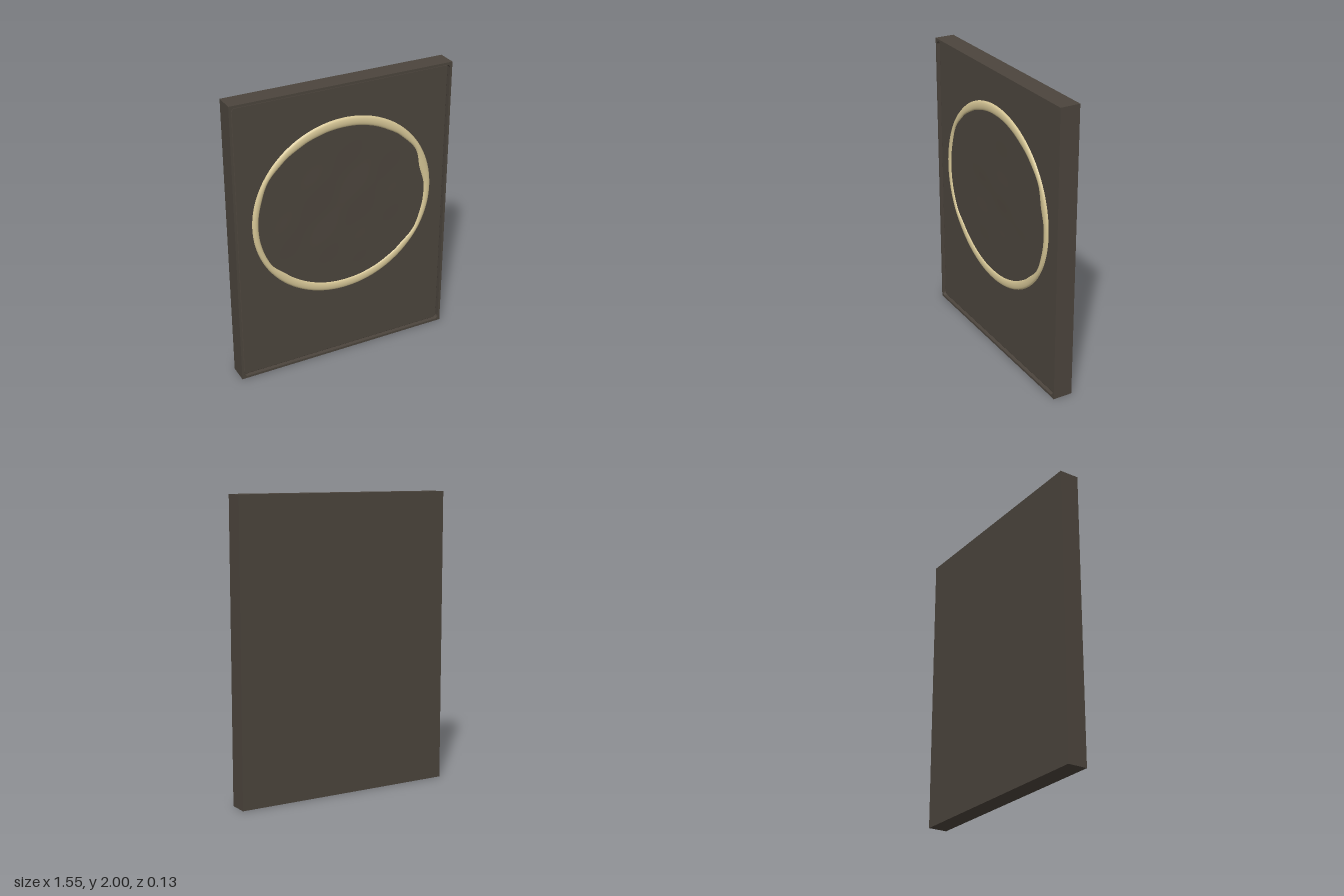
import * as THREE from 'three';

const W = 0.777, H = 2, BACK = -0.068, PANEL = 0.05, FRONT = 0.067;
const CY = 1.132, RX = 0.652, RY = 0.632, SEG = 144;

// Band width at every 15 degrees, counter-clockwise from the model's left
const widths = [0.05, 0.068, 0.042, 0.055, 0.066, 0.068, 0.07, 0.068, 0.062, 0.05, 0.036, 0.045,
  0.044, 0.042, 0.04, 0.062, 0.066, 0.068, 0.07, 0.068, 0.064, 0.056, 0.036, 0.045];
const bandWidth = (t) => {
  const f = ((t / (2 * Math.PI)) * widths.length) % widths.length, i = Math.floor(f);
  const u = f - i, s = u * u * (3 - 2 * u);
  return THREE.MathUtils.lerp(widths[i], widths[(i + 1) % widths.length], s);
};

// Surface swept around the medallion; point(t, v) with v from the inside out
function sweep(steps, point) {
  const pos = [], idx = [];
  for (let j = 0; j <= steps; j++)
    for (let i = 0; i < SEG; i++) pos.push(...point((i / SEG) * Math.PI * 2, j / steps));
  for (let j = 0; j < steps; j++)
    for (let i = 0; i < SEG; i++) {
      const k = (i + 1) % SEG, a = j * SEG + i, b = a + SEG, c = (j + 1) * SEG + k, d = j * SEG + k;
      if (j > 0) idx.push(a, c, d);
      idx.push(a, b, c);
    }
  const g = new THREE.BufferGeometry();
  g.setAttribute('position', new THREE.Float32BufferAttribute(pos, 3));
  g.setIndex(idx);
  g.computeVertexNormals();
  return g;
}

function roundedRect(w, h, r) {
  const s = new THREE.Shape();
  s.absarc(w - r, h - r, r, 0, Math.PI / 2);
  s.absarc(r - w, h - r, r, Math.PI / 2, Math.PI);
  s.absarc(r - w, r - h, r, Math.PI, Math.PI * 1.5);
  s.absarc(w - r, r - h, r, Math.PI * 1.5, Math.PI * 2);
  s.closePath();
  return s;
}

export function createModel() {
  const group = new THREE.Group();
  const wood = new THREE.MeshStandardMaterial({ color: 0x4c453d });
  wood.name = 'dark wood';
  const cream = new THREE.MeshStandardMaterial({ color: 0xd6c696 });
  cream.name = 'cream';
  const add = (name, geometry, material) => {
    const mesh = new THREE.Mesh(geometry, material);
    mesh.name = name;
    group.add(mesh);
    return mesh;
  };

  // Backing slab
  const slabDepth = PANEL - 0.012 - BACK;
  add('backing', new THREE.BoxGeometry(W * 2, H, slabDepth), wood)
    .position.set(0, H / 2, BACK + slabDepth / 2);

  // Thin raised rim with rounded inner corners
  const rimShape = new THREE.Shape([[-W, -1], [W, -1], [W, 1], [-W, 1]].map(([x, y]) => new THREE.Vector2(x, y)));
  rimShape.holes.push(roundedRect(W - 0.016, 0.984, 0.025));
  const rimDepth = FRONT - PANEL + 0.012;
  add('rim', new THREE.ExtrudeGeometry(rimShape, { depth: rimDepth, bevelEnabled: false, curveSegments: 8 }), wood)
    .position.set(0, H / 2, FRONT - rimDepth);

  // Front panel with a soft edge, set inside the rim
  add('panel', new THREE.ExtrudeGeometry(roundedRect(W - 0.027, 0.973, 0.02), {
    depth: 0.006, bevelThickness: 0.006, bevelSize: 0.006, bevelSegments: 3, curveSegments: 8,
  }), wood).position.set(0, H / 2, PANEL - 0.012);

  // Gently uneven carved field inside the ring
  const field = sweep(28, (t, v) => {
    const w = bandWidth(t) - 0.006;
    const x = Math.cos(t) * (RX - w) * v, y = Math.sin(t) * (RY - w) * v;
    const bumps = Math.sin(9 * x + 4 * y) * Math.cos(11 * y - 3 * x) + 0.5 * Math.sin(17 * x - 13 * y + 1);
    return [x, y + CY, PANEL + 0.004 + 0.0012 * bumps * (1 - v * v)];
  });
  add('carvedField', field, wood);

  // Rounded ring with an irregular inner edge
  const ring = sweep(10, (t, v) => {
    const w = bandWidth(t) * (1 - v);
    const z = PANEL - 0.001 + 0.015 * Math.sqrt(Math.max(0, 1 - (2 * v - 1) ** 2));
    return [Math.cos(t) * (RX - w), CY + Math.sin(t) * (RY - w), z];
  });
  // The first strip needs both triangles because it does not meet at a point
  const extra = [];
  for (let i = 0; i < SEG; i++) extra.push(i, SEG + ((i + 1) % SEG), (i + 1) % SEG);
  ring.setIndex([...ring.index.array, ...extra]);
  ring.computeVertexNormals();
  add('ring', ring, cream);

  return group;
}
